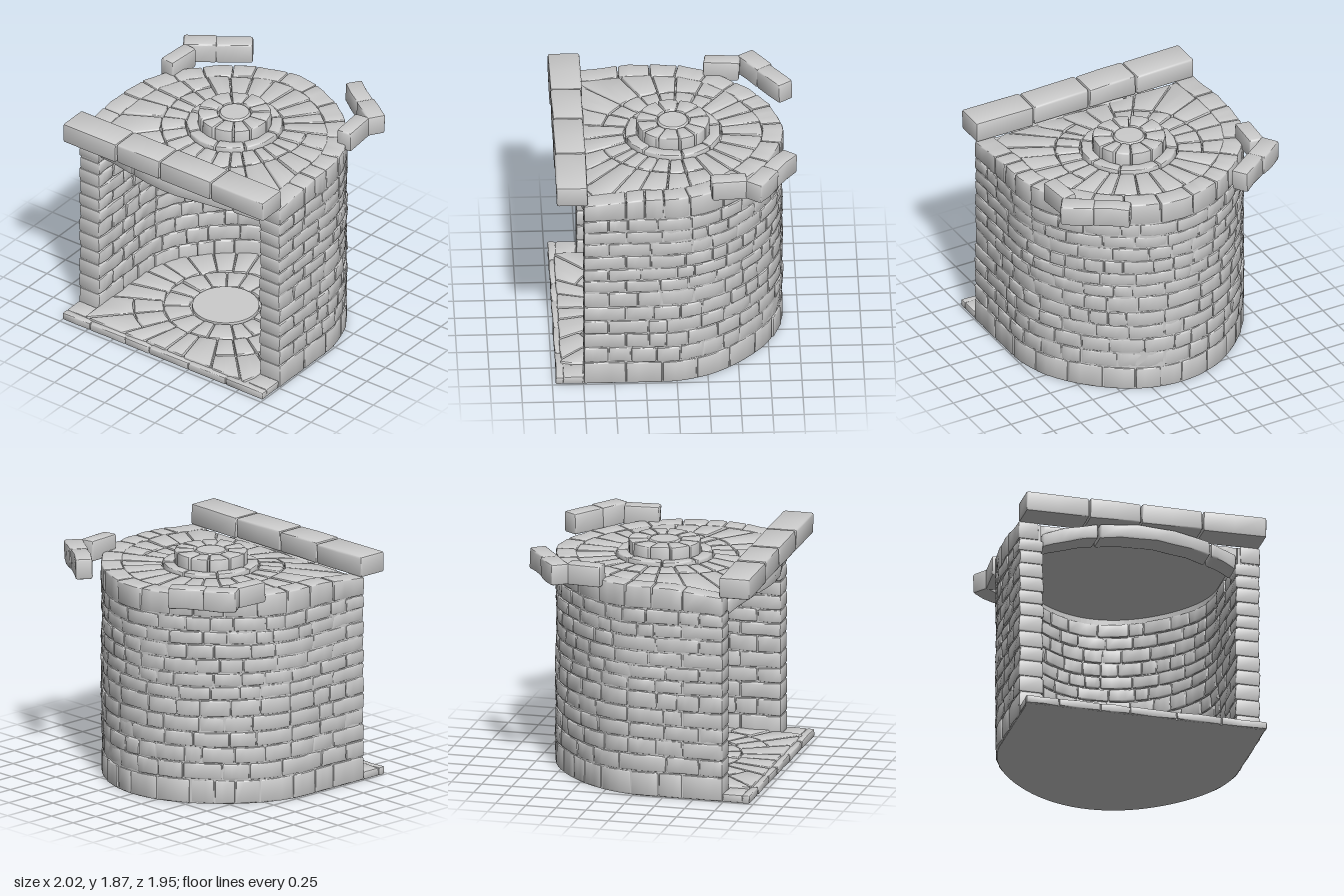
import * as THREE from 'three';
import { mergeGeometries, toCreasedNormals } from 'three/addons/utils/BufferGeometryUtils.js';

const material = new THREE.MeshStandardMaterial({ color: 0xcccccc });
const { clamp, lerp } = THREE.MathUtils;
const ZC = 0.12, FRONT = 0.75, STRAIGHT = FRONT - ZC;
const LENGTH = 2 * STRAIGHT + Math.PI;

let seed = 7;
const random = () => (seed = (seed * 16807) % 2147483647) / 2147483647;
const vary = (amount) => (random() - 0.5) * 2 * amount;

// One chamfered stone of size w, h, d; map bends its local points into place.
function stone(w, h, d, map, r = 0.016, segs = 4) {
  const g = new THREE.BoxGeometry(1, 1, 1, segs, 3, 3);
  const p = g.attributes.position;
  const size = [w, h, d], count = [segs, 3, 3];
  const inner = new THREE.Vector3(), off = new THREE.Vector3();
  const phase = random() * 6;
  for (let i = 0; i < p.count; i++) {
    const c = [p.getX(i), p.getY(i), p.getZ(i)].map((t, k) => {
      const half = size[k] / 2, n = count[k], j = Math.round((t + 0.5) * n);
      if (j === 0) return -half;
      if (j === n) return half;
      return lerp(r - half, half - r, (j - 1) / (n - 2));
    });
    inner.fromArray(c.map((v, k) => clamp(v, r - size[k] / 2, size[k] / 2 - r)));
    off.fromArray(c).sub(inner).normalize().multiplyScalar(r);
    inner.add(off);
    // slightly uneven hewn faces
    const n = 0.004 * Math.sin(inner.x * 23 + inner.y * 31 + phase);
    const q = map(inner.x, inner.y + n * 0.5, inner.z + n);
    p.setXYZ(i, q[0], q[1], q[2]);
  }
  g.deleteAttribute('uv');
  return toCreasedNormals(g, 0.75);
}

function addMesh(parent, name, geometry) {
  const mesh = new THREE.Mesh(geometry, material);
  mesh.name = name;
  parent.add(mesh);
}
const addStones = (parent, name, list) => addMesh(parent, name, mergeGeometries(list));

// Split a run into n uneven pieces, as [start, end] pairs.
function pieces(start, end, n, uneven = 0.3) {
  const w = Array.from({ length: n }, () => 1 + vary(uneven));
  const sum = w.reduce((a, b) => a + b);
  let s = start;
  return w.map((v) => [s, (s += (v / sum) * (end - start))]);
}

// The round back is drawn in a little on its diagonals.
const squeeze = (t) => 1 - 0.032 * Math.sin(2 * t) ** 2;

// Point on the horseshoe plan: s along the wall, b outward from the outer face.
function plan(s, b) {
  const r = 1 + b;
  if (s < STRAIGHT) return [r, FRONT - s];
  if (s > STRAIGHT + Math.PI) return [-r, ZC + s - STRAIGHT - Math.PI];
  const t = s - STRAIGHT, k = squeeze(t) + b;
  return [k * Math.cos(t), ZC - k * Math.sin(t)];
}

// The top dips towards the front.
const dip = (y, z) => (y > 1.5 ? 0.05 * clamp((z - 0.3) / 0.42, 0, 1) * (y - 1.5) / 0.25 : 0);

// Horseshoe outline, solid or with a hollow inside, extruded from y0 to y1.
function horseshoe(ro, ri, front, y0, y1) {
  const start = FRONT - front, steps = 70;
  const line = (r) => Array.from({ length: steps + 1 }, (_, i) =>
    new THREE.Vector2(...plan(lerp(start, LENGTH - start, i / steps), r - 1)));
  const points = line(ro);
  if (ri) points.push(...line(ri).reverse());
  return new THREE.ExtrudeGeometry(new THREE.Shape(points), { depth: y1 - y0, bevelEnabled: false })
    .rotateX(Math.PI / 2).translate(0, y1, 0);
}

// Distance from (0, cz) in direction t to a wall line of radius R.
function reach(t, cz, front, R) {
  const sx = Math.sin(t), sz = Math.cos(t);
  const r = Math.min(R / Math.max(Math.abs(sx), 1e-4), sz > 0 ? (front - cz) / sz : 9);
  if (cz + r * sz >= ZC) return r;
  const k = (cz - ZC) * sz, round = R - 1 + squeeze(Math.atan2(-sz, sx));
  return -k + Math.sqrt(k * k + round * round - (cz - ZC) ** 2);
}

// Wedge-shaped paving stone between angles and radii; outer is a function of angle.
function wedge(t0, t1, r0, outer, y0, y1, cz, gap = 0.008) {
  const tc = (t0 + t1) / 2;
  const depth = outer(tc) - r0, rm = r0 + depth / 2;
  const w = (t1 - t0) * rm - gap, d = depth - gap, h = y1 - y0;
  return stone(w, h, d, (a, y, b) => {
    const t = tc + a / rm, r = lerp(r0, outer(t), b / depth + 0.5), z = cz + r * Math.cos(t);
    const yy = y0 + h / 2 + y;
    return [r * Math.sin(t), yy - dip(yy, z), z];
  }, Math.min(0.014, d / 3, w / 3));
}

function ring(n, r0, r1, y0, y1, cz, shift = 0) {
  return pieces(shift, shift + Math.PI * 2, n, 0.2)
    .map(([a, b]) => wedge(a, b, r0, () => r1, y0, y1 + vary(0.005), cz));
}

// Radial paving out to the wall, with an extra stone wherever there is room.
function paving(n, r0, split, y0, y1, cz, front, R) {
  const out = (t) => reach(t, cz, front, R);
  const list = [];
  for (const [a, b] of pieces(0, Math.PI * 2, n, 0.2)) {
    const top = y1 + vary(0.004), two = out((a + b) / 2) > split + 0.16;
    list.push(wedge(a, b, r0, two ? () => split : out, y0, top, cz));
    if (two) list.push(wedge(a, b, split, out, y0, y1 + vary(0.004), cz));
  }
  return list;
}

function buildWall(group) {
  addMesh(group, 'wallMortar', horseshoe(0.987, 0.813, 0.738, 0.002, 1.685));
  const rows = [0, 0.2, 0.34, 0.475, 0.6, 0.73, 0.87, 0.98, 1.09, 1.21, 1.33, 1.44, 1.56, 1.75];
  const list = [];
  for (let i = 0; i < rows.length - 1; i++) {
    const y0 = rows[i], y1 = rows[i + 1], h = y1 - y0, yc = (y0 + y1) / 2;
    const thick = i === rows.length - 2 ? 0.165 : 0.2;
    const end = i % 2 ? 0.2 : 0.34;
    const runs = [[0, end], ...pieces(end, LENGTH - end, 15 + (i % 3), 0.4), [LENGTH - end, LENGTH]];
    for (const [s0, s1] of runs) {
      const sc = (s0 + s1) / 2, push = vary(0.005);
      list.push(stone(s1 - s0 - 0.007, h - 0.006, thick + vary(0.006), (a, y, b) => {
        const s = sc + a, [x, z] = plan(s, b - thick / 2 + push - 0.003);
        const yy = yc + y;
        const wave = 0.004 * Math.sin(s * 5 + yy * 4) * Math.min(1, yy * 5, (1.75 - yy) * 5);
        return [x, yy + wave - dip(yy, z), z];
      }, 0.014, 5));
    }
  }
  addStones(group, 'wallStones', list);
}

function buildFloor(group) {
  addMesh(group, 'floorSlab', horseshoe(0.985, 0, 0.955, 0, 0.06));
  const cz = 0.12;
  addStones(group, 'floorPaving', [
    ...paving(24, 0.5, 0.74, 0.01, 0.083, cz, 0.93, 0.81),
    ...ring(16, 0.28, 0.5, 0.01, 0.083, cz),
  ]);
  addMesh(group, 'floorCentre', new THREE.CylinderGeometry(0.268, 0.275, 0.073, 32).translate(0, 0.0465, cz));
  // front edging
  addStones(group, 'frontStep', pieces(-1, 1, 6).map(([a, b]) =>
    stone(b - a - 0.006, 0.064, 0.06, (x, y, z) => [x + (a + b) / 2, y + 0.033, z + 0.94], 0.01)));
  addStones(group, 'stepCorners', [-1, 1].map((s) =>
    stone(0.19, 0.066, 0.16, (x, y, z) => [x + s * 0.9, y + 0.035, z + 0.83], 0.01)));
}

function buildRoof(group) {
  addMesh(group, 'roofSlab', horseshoe(0.85, 0, 0.72, 1.6, 1.69));
  addStones(group, 'roofPaving', paving(24, 0.39, 0.59, 1.62, 1.745, 0, 0.73, 0.84));
  addStones(group, 'roofCollar', ring(8, 0.29, 0.39, 1.65, 1.77, 0, 0.2));
  addStones(group, 'roofCapRing', ring(11, 0.13, 0.295, 1.65, 1.865, 0));
  addMesh(group, 'roofCapCentre', toCreasedNormals(new THREE.LatheGeometry(
    [[0.128, 1.7], [0.128, 1.85], [0.115, 1.865], [0, 1.868]].map(([x, y]) => new THREE.Vector2(x, y)), 24), 0.6));
}

function buildFront(group) {
  // straight beam of four blocks
  const joints = [-1, -0.47, -0.04, 0.47, 1];
  addStones(group, 'beam', joints.slice(1).map((b, i) => {
    const a = joints[i], lift = vary(0.004);
    return stone(b - a - 0.007, 0.172, 0.25 + vary(0.006),
      (x, y, z) => [x + (a + b) / 2, y + 1.782 + lift, z + 0.84], 0.018);
  }));
  // bowed arch below it
  const arch = [-0.81, -0.37, 0.57, 0.81];
  addStones(group, 'arch', arch.slice(1).map((b, i) => {
    const a = arch[i];
    return stone(b - a - 0.01, 0.125, 0.2, (x, y, z) => {
      const X = x + (a + b) / 2, k = Math.abs(X) / 0.8;
      return [X, y + 1.636 - 0.078 * k ** 3, z + 0.835 - 0.2 * k ** 1.6];
    }, 0.02, 8);
  }));
}

function buildParapet(group) {
  // [x, z, length, depth, turn] on the model's left, mirrored to its right
  const blocks = [[0.87, -0.42, 0.13, 0.29, 0.08], [0.85, -0.685, 0.27, 0.155, -0.6], [0.62, -0.835, 0.3, 0.14, -0.62]];
  for (const side of [1, -1]) {
    addStones(group, side > 0 ? 'parapetLeft' : 'parapetRight', blocks.map(([x, z, w, d, turn]) =>
      stone(w, 0.175, d, (a, y, b) => [a, y, b], 0.018)
        .rotateY(side * turn).translate(side * x, 1.78, z)));
  }
}

export function createModel() {
  seed = 7;
  const model = new THREE.Group();
  model.name = 'stoneAlcove';
  const parts = { floor: buildFloor, wall: buildWall, roof: buildRoof, front: buildFront, parapet: buildParapet };
  for (const [name, build] of Object.entries(parts)) {
    const group = new THREE.Group();
    group.name = name;
    build(group);
    model.add(group);
  }
  return model;
}
